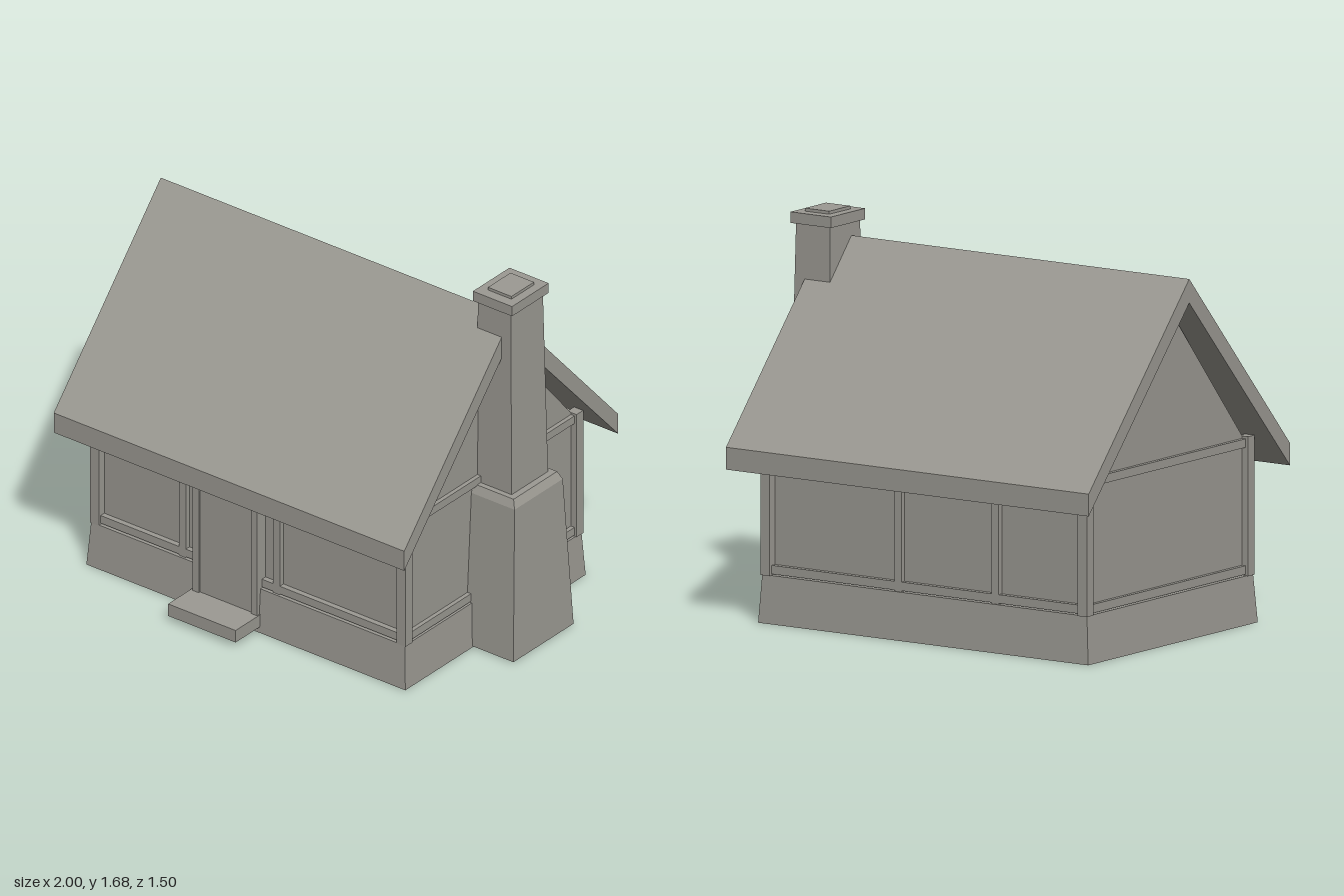
import * as THREE from 'three';

export function createModel() {
  const stone = new THREE.MeshStandardMaterial({ color: 0x9c9a93 });
  stone.name = 'warm grey';
  const house = new THREE.Group();
  house.name = 'cottage';

  const add = (name, geometry) => {
    const mesh = new THREE.Mesh(geometry, stone);
    mesh.name = name;
    house.add(mesh);
    return mesh;
  };

  // Box given by its limits on each axis
  const box = (name, x0, x1, y0, y1, z0, z1) =>
    add(name, new THREE.BoxGeometry(x1 - x0, y1 - y0, z1 - z0))
      .position.set((x0 + x1) / 2, (y0 + y1) / 2, (z0 + z1) / 2);

  // Tapered block: bottom and top rectangles are [x0, x1, z0, z1]
  const taper = (name, y0, y1, bottom, top) => {
    const g = new THREE.BoxGeometry(1, 1, 1);
    const p = g.attributes.position;
    for (let i = 0; i < p.count; i++) {
      const up = p.getY(i) > 0;
      const r = up ? top : bottom;
      p.setXYZ(i, p.getX(i) > 0 ? r[1] : r[0], up ? y1 : y0, p.getZ(i) > 0 ? r[3] : r[2]);
    }
    g.computeVertexNormals();
    return add(name, g);
  };

  // Outline of [z, y] points extruded along x
  const alongX = (name, points, x0, x1) => {
    const shape = new THREE.Shape(points.map(([z, y]) => new THREE.Vector2(-z, y)));
    const g = new THREE.ExtrudeGeometry(shape, { depth: x1 - x0, bevelEnabled: false });
    g.rotateY(Math.PI / 2);
    g.translate(x0, 0, 0);
    return add(name, g);
  };

  // Plinth, walls with gables, and roof
  const mid = -0.023;
  taper('plinth', 0, 0.205, [-0.915, 0.782, -0.633, 0.59], [-0.9, 0.77, -0.62, 0.577]);
  alongX('walls', [
    [mid + 0.565, 0.2], [mid + 0.565, 0.787], [mid, 1.455], [mid - 0.565, 0.787], [mid - 0.565, 0.2],
  ], -0.875, 0.745);
  alongX('roof', [
    [0.703, 0.66], [0.703, 0.755], [mid, 1.562], [-0.748, 0.755], [-0.748, 0.66], [mid, 1.46],
  ], -1, 0.865);

  // Corner posts
  for (const x of [-0.905, 0.727])
    for (const z of [-0.627, 0.533])
      box('cornerPost', x, x + 0.048, 0.203, 0.797, z, z + 0.047);

  // Intermediate posts on the long walls
  for (const x of [-0.44, 0.06])
    for (const z of [-0.613, 0.53])
      box('wallPost', x, x + 0.036, 0.205, 0.787, z, z + 0.037);

  // Horizontal rails on all four sides
  for (const [y0, y1] of [[0.21, 0.247], [0.75, 0.787]]) {
    for (const z of [-0.613, 0.53]) box('longRail', -0.86, 0.73, y0, y1, z, z + 0.037);
    for (const x of [-0.893, 0.727]) box('gableRail', x, x + 0.037, y0, y1, -0.585, 0.538);
  }

  // Door with frame and step
  box('door', -0.315, -0.027, 0.08, 0.605, 0.53, 0.591);
  for (const x of [-0.342, -0.032]) box('doorJamb', x, x + 0.033, 0.08, 0.605, 0.53, 0.6);
  box('doorLintel', -0.353, 0.008, 0.602, 0.642, 0.53, 0.603);
  box('doorStep', -0.353, 0.006, 0.027, 0.085, 0.53, 0.752);

  // Chimney: battered foot, shoulder, shaft and cap
  taper('chimneyFoot', 0.006, 0.717, [0.7, 1, -0.273, 0.135], [0.7, 0.975, -0.232, 0.095]);
  taper('chimneyShoulder', 0.717, 0.755, [0.7, 0.975, -0.232, 0.095], [0.7, 0.958, -0.215, 0.08]);
  taper('chimneyShaft', 0.75, 1.625, [0.725, 0.928, -0.192, 0.055], [0.738, 0.912, -0.177, 0.04]);
  box('chimneyCap', 0.722, 0.93, 1.62, 1.667, -0.193, 0.055);
  box('chimneyTop', 0.765, 0.89, 1.66, 1.68, -0.145, 0.008);

  return house;
}
